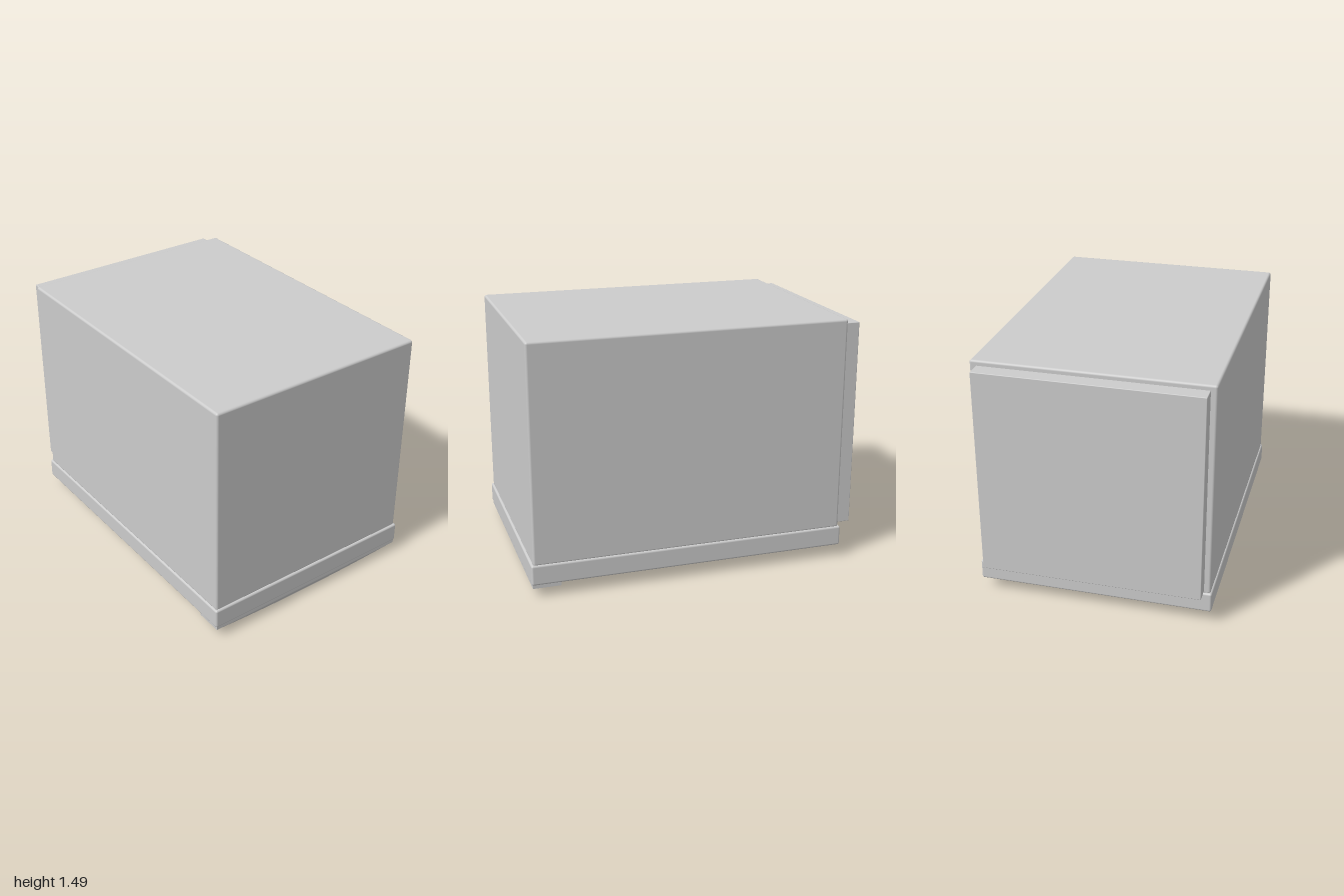
import * as THREE from 'three';
import { RoundedBoxGeometry } from 'three/addons/geometries/RoundedBoxGeometry.js';
import { toCreasedNormals } from 'three/addons/utils/BufferGeometryUtils.js';

const material = new THREE.MeshStandardMaterial({ color: 0xcccccc });

function addMesh(group, name, geometry) {
  const mesh = new THREE.Mesh(geometry, material);
  mesh.name = name;
  group.add(mesh);
}

// Box with softened edges, given by its half width and its y and z ranges
function softBox(halfX, y0, y1, z0, z1, radius) {
  const geometry = new RoundedBoxGeometry(2 * halfX, y1 - y0, z1 - z0, 3, radius);
  return geometry.translate(0, (y0 + y1) / 2, (z0 + z1) / 2);
}

// Front foot: a bar whose tapered underside bows down towards the middle
function bowedFoot() {
  const halfX = 0.69, steps = 32, rim = 0.055;
  const positions = [], index = [];
  for (let i = 0; i <= steps; i++) {
    const u = (i / steps) * 2 - 1;
    const bow = 1 - u * u;
    const bottom = rim - 0.001 - (rim - 0.001) * bow;
    const section = [
      [0.995, 0.085], [0.995, rim], [0.992 - 0.03 * bow, bottom],
      [0.833 + 0.037 * bow, bottom], [0.83, rim], [0.83, 0.085],
    ];
    for (const [z, y] of section) positions.push(u * halfX, y, z);
  }
  for (let i = 0; i < steps; i++) {
    for (let j = 0; j < 6; j++) {
      const k = (j + 1) % 6;
      const a = i * 6 + j, b = i * 6 + k, c = b + 6, d = a + 6;
      index.push(a, b, c, a, c, d);
    }
  }
  // End caps
  const last = steps * 6;
  for (let j = 1; j < 5; j++) {
    index.push(0, j + 1, j, last, last + j, last + j + 1);
  }
  const geometry = new THREE.BufferGeometry();
  geometry.setAttribute('position', new THREE.Float32BufferAttribute(positions, 3));
  geometry.setIndex(index);
  return toCreasedNormals(geometry, 0.4);
}

export function createModel() {
  const group = new THREE.Group();
  group.name = 'cabinet';

  addMesh(group, 'housing', softBox(0.69, 0.19, 1.49, -0.908, 0.988, 0.014));
  addMesh(group, 'basePlinth', softBox(0.699, 0.075, 0.197, -0.92, 1, 0.012));
  // Slightly narrower panel standing off the back
  addMesh(group, 'rearPanel', softBox(0.652, 0.205, 1.46, -1, -0.895, 0.004));
  addMesh(group, 'frontFoot', bowedFoot());

  return group;
}
